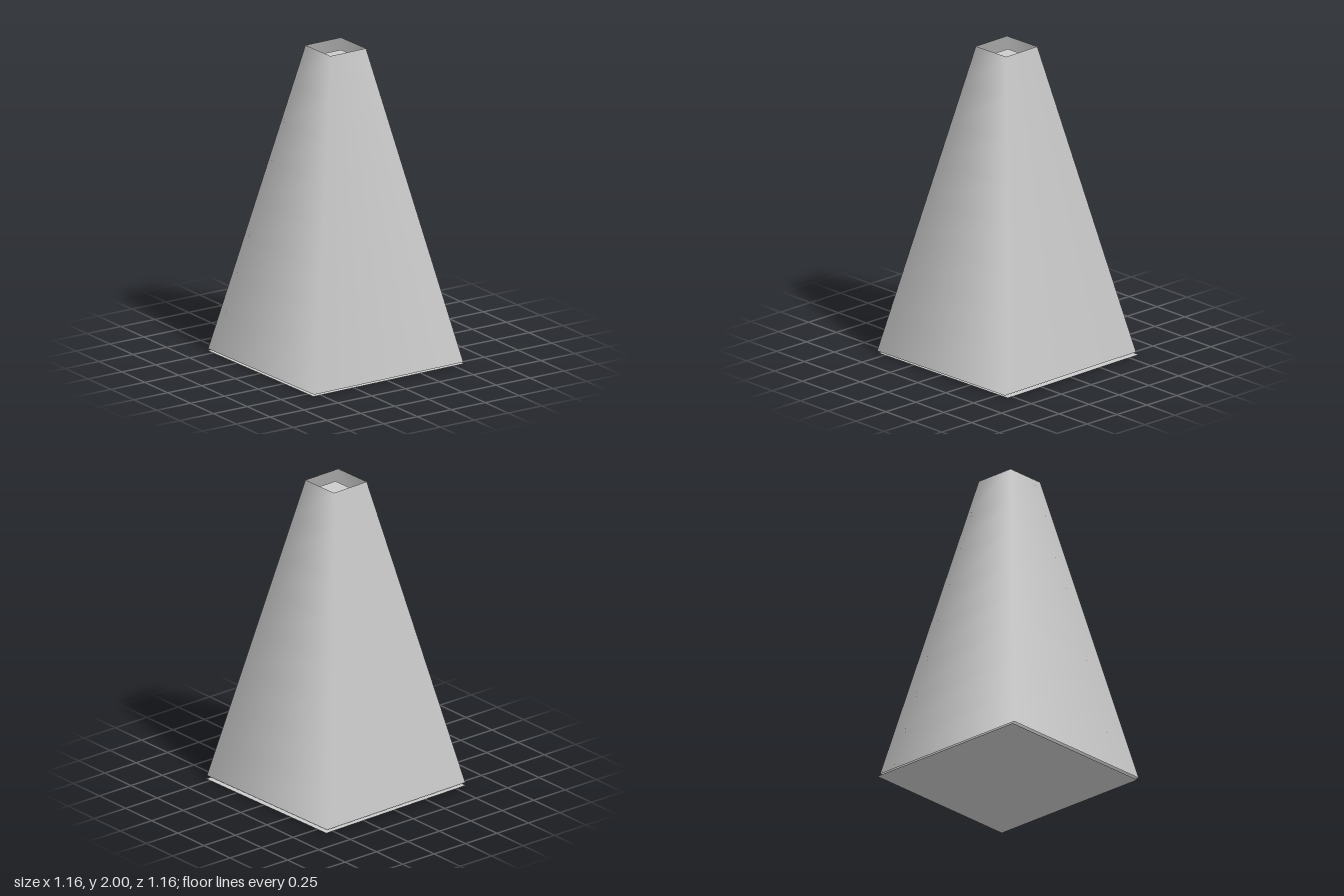
import * as THREE from 'three';

export function createModel() {
  const group = new THREE.Group();
  const material = new THREE.MeshStandardMaterial({ color: 0xcccccc, side: THREE.DoubleSide });
  const twist = 0.0225; // the whole tower is turned very slightly

  const add = (name, geometry, x, y, z) => {
    const mesh = new THREE.Mesh(geometry, material);
    mesh.name = name;
    mesh.position.set(x, y, z);
    mesh.rotation.y = twist;
    group.add(mesh);
  };

  // Horizontal sheet facing up
  const sheet = (w, d) => new THREE.PlaneGeometry(w, d).rotateX(-Math.PI / 2);

  // Open, four-sided tapering shell, smooth-shaded around its corners
  const bottom = 0.56, top = 0.133, low = 0.015, high = 2;
  const shell = new THREE.CylinderGeometry(
    top * Math.SQRT2, bottom * Math.SQRT2, high - low, 4, 8, true
  ).rotateY(Math.PI / 4);
  add('taperedShell', shell, -0.009, (low + high) / 2, 0);

  // Thin base just under the shell
  add('basePlate', sheet(1.132, 1.12), 0, 0, -0.01);

  // Small plate sunk inside the top opening
  add('innerPlate', sheet(0.218, 0.231), 0, 1.93, 0.006);

  return group;
}
